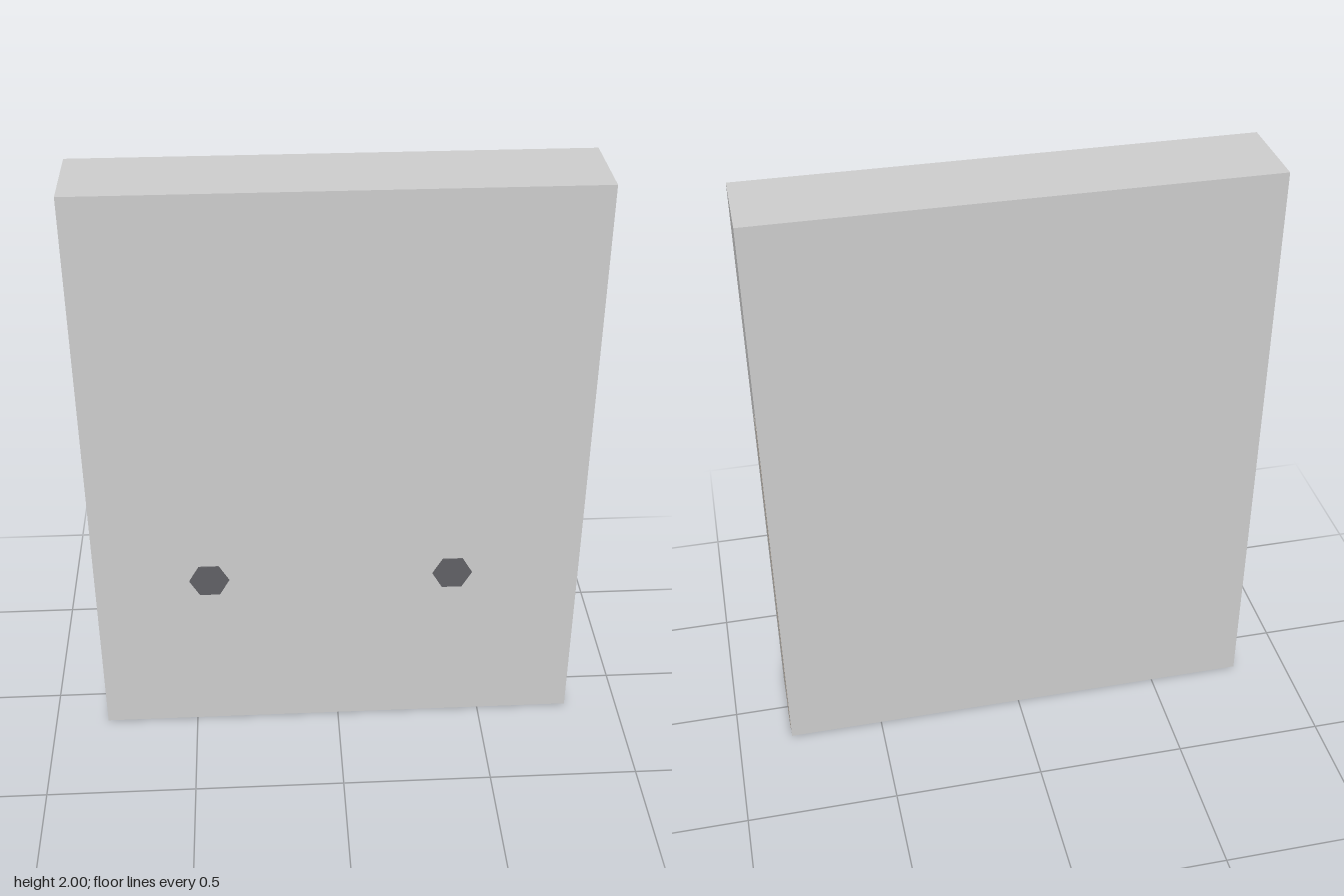
import * as THREE from 'three';

const W = 1.634, H = 2, D = 0.29;

export function createModel() {
  const group = new THREE.Group();
  const add = (name, geometry, color, x, y, z) => {
    const mesh = new THREE.Mesh(geometry, new THREE.MeshStandardMaterial({ color, flatShading: true }));
    mesh.name = name;
    mesh.position.set(x, y, z);
    group.add(mesh);
    return mesh;
  };

  // Main slab
  add('panel', new THREE.BoxGeometry(W, H, D), 0xcccccc, 0, H / 2, -0.002);

  // Two hexagonal bolt heads, almost flush with the front
  for (const x of [-0.433, 0.387]) {
    const bolt = add('boltHead', new THREE.CylinderGeometry(0.067, 0.067, 0.04, 6), 0x606064, x, 0.608, 0.127);
    bolt.rotation.set(Math.PI / 2, Math.PI / 6, 0, 'XYZ');
  }

  // Inlaid edge strip on the left side
  add('edgeStrip', new THREE.BoxGeometry(0.02, 1.296, 0.09), 0xbdb4a9, W / 2 - 0.009, 0.649, -0.075);

  // Narrow strip and two small catches on the right side
  add('narrowStrip', new THREE.BoxGeometry(0.02, 1.29, 0.03), 0xb8b8b6, -W / 2 + 0.009, 0.647, -0.045);
  for (const y of [0.26, 1.03]) {
    add('catch', new THREE.BoxGeometry(0.02, 0.055, 0.06), 0xa8a8a6, -W / 2 + 0.0085, y, -0.07);
  }
  return group;
}
